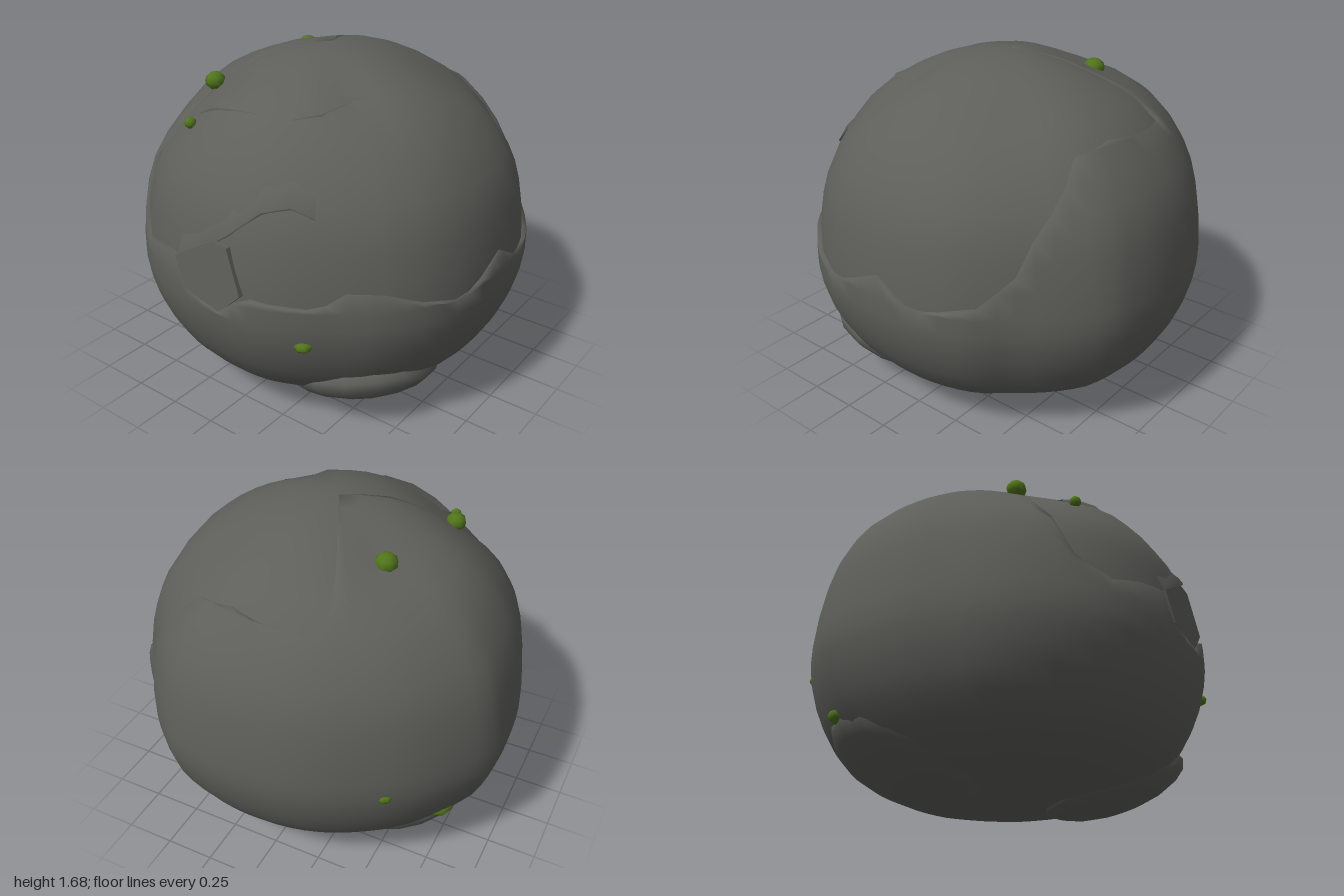
import * as THREE from 'three';
import { mergeVertices } from 'three/addons/utils/BufferGeometryUtils.js';

const DEG = Math.PI / 180;

// Half outline of the boulder, bottom to top: radius, height
const profile = new THREE.SplineCurve([
  [0, 0.045], [0.35, 0.05], [0.6, 0.1], [0.8, 0.21], [0.92, 0.38], [0.985, 0.57], [0.995, 0.74],
  [0.96, 1.0], [0.89, 1.2], [0.74, 1.41], [0.52, 1.56], [0.25, 1.665], [0, 1.69],
].map(([r, y]) => new THREE.Vector2(r, y)));

// Uneven girth: azimuth, radius factor
const girth = [
  [-180, 1.0], [-148, 0.99], [-123, 1.02], [-110, 1.05], [-96, 1.005], [-75, 0.97], [-57, 0.985], [-30, 1.0],
  [0, 1.0], [14, 1.02], [28, 1.01], [37, 1.0], [47, 1.02], [64, 1.035], [76, 1.02], [88, 1.005], [101, 1.01],
  [118, 1.02], [128, 0.985], [140, 1.01], [155, 1.045], [168, 1.02], [180, 1.0],
];

// Hollows pressed into the boulder: x, y, z, reach, depth
const hollows = [
  [-0.45, 1.48, 0.48, 0.3, 0.055], [-0.36, 1.6, -0.25, 0.25, 0.045], [0.34, 1.56, 0.32, 0.1, 0.04],
  [0.5, 1.53, -0.35, 0.25, 0.03], [0.55, 1.5, 0.38, 0.2, 0.015], [-0.62, 1.32, 0.42, 0.25, 0.015],
].map(([x, y, z, reach, depth]) => ({ at: new THREE.Vector3(x, y, z), reach, depth }));
const middle = new THREE.Vector3(0, 0.85, 0);

// Linear lookup in a table of azimuth, value
function lookup(table, azimuth) {
  const k = Math.max(1, table.findIndex(([a]) => a >= azimuth));
  const [a0, y0] = table[k - 1], [a1, y1] = table[k];
  return THREE.MathUtils.lerp(y0, y1, (azimuth - a0) / (a1 - a0));
}

// Profile parameter for a given height
function paramAt(y) {
  if (y >= 1.69) return 1;
  let lo = 0.1, hi = 1;
  for (let i = 0; i < 24; i++) {
    const mid = (lo + hi) / 2;
    if (profile.getPoint(mid).y < y) lo = mid; else hi = mid;
  }
  return lo;
}

// Point on the boulder at an azimuth in degrees (0 = front, 90 = +x), sunk by inset
function surface(azimuth, t, inset = 0) {
  const p = profile.getPoint(t);
  const a = azimuth * DEG;
  const r = Math.max(0, p.x) * (1 + (lookup(girth, azimuth) - 1) * Math.sin(Math.PI * t));
  const point = new THREE.Vector3(r * Math.sin(a), p.y, r * Math.cos(a));
  let sink = 0;
  for (const { at, reach, depth } of hollows) {
    sink += depth * Math.exp(-point.distanceToSquared(at) / reach ** 2);
  }
  return point.sub(middle).multiplyScalar(1 - inset - sink / point.length()).add(middle);
}

// Grid of points to a smooth-shaded surface
function gridGeometry(rows, cols, pointAt) {
  const pos = [], index = [];
  for (let j = 0; j <= rows; j++) {
    for (let i = 0; i <= cols; i++) pos.push(...pointAt(i / cols, j / rows, j).toArray());
  }
  for (let j = 0; j < rows; j++) {
    for (let i = 0; i < cols; i++) {
      const a = j * (cols + 1) + i, b = a + cols + 1;
      index.push(a, a + 1, b, a + 1, b + 1, b);
    }
  }
  let g = new THREE.BufferGeometry();
  g.setAttribute('position', new THREE.Float32BufferAttribute(pos, 3));
  g.setIndex(index);
  g = mergeVertices(g, 1e-4);
  g.computeVertexNormals();
  return g;
}

// Jagged upper rim of the outer shell: azimuth, height
const rim = [
  [-180, 1.41], [-160, 1.4], [-155, 1.69], [-55, 1.69], [-49, 1.45], [-46, 1.2], [-42, 0.93],
  [-31, 0.8], [-18, 0.85], [-10, 0.86], [-7, 0.71], [5, 0.66], [13, 0.77], [22, 0.76], [33, 0.75], [40, 0.83],
  [50, 0.82], [60, 0.76], [73, 0.71], [90, 0.84], [102, 0.72], [120, 0.79], [130, 0.93], [134, 1.08],
  [141, 1.22], [150, 1.4], [165, 1.43], [180, 1.41],
];

export function createModel() {
  const model = new THREE.Group();
  const stone = new THREE.MeshStandardMaterial({ color: 0x5e5e5a, side: THREE.DoubleSide });
  stone.name = 'grey stone';
  const moss = new THREE.MeshStandardMaterial({ color: 0x50741a });
  moss.name = 'green moss';

  function add(name, geometry, material = stone) {
    const mesh = new THREE.Mesh(geometry, material);
    mesh.name = name;
    model.add(mesh);
    return mesh;
  }

  // Inner boulder, slightly sunk below the shell and flush with it at the top
  add('innerBoulder', gridGeometry(24, 36, (u, t) => {
    const fade = THREE.MathUtils.smoothstep(profile.getPoint(t).y, 1.3, 1.65);
    return surface(u * 360 - 180, t, THREE.MathUtils.lerp(0.017, 0.002, fade));
  }));

  // Cracked outer shell, cut off at the rim, its last row folded inwards as the broken edge
  const rows = 25;
  add('crackedShell', gridGeometry(rows, 72, (u, v, j) => {
    const azimuth = u * 360 - 180;
    const top = paramAt(lookup(rim, azimuth));
    return surface(azimuth, Math.min(top, j / (rows - 1)), j === rows && top < 1 ? 0.03 : 0);
  }));

  // Raised lips along the cracks: azimuth, height
  const cracks = {
    frontCrack: [[-10, 0.87], [0, 0.95], [8, 1.05], [17, 1.17], [25, 1.2], [32, 1.16]],
    topCrack: [[-34, 1.43], [-25, 1.47], [-12, 1.49], [3, 1.5]],
    crownCrack: [[20, 1.5], [32, 1.52], [48, 1.57], [62, 1.58]],
  };
  for (const [name, points] of Object.entries(cracks)) {
    const n = points.length - 1;
    add(name, gridGeometry(2, n, (u, v, j) => {
      const i = Math.round(u * n);
      const lift = i === 0 || i === n ? 0 : 0.008;
      const [azimuth, y] = points[i];
      return surface(azimuth, paramAt(y + [0.1, 0, -0.01][j]), [0.02, -lift, 0.03][j]);
    }));
  }

  // Flat broken facet on the front, leaning back with the boulder
  const facet = new THREE.Shape(
    [[-0.18, 0.02], [-0.12, -0.13], [0.1, -0.18], [0.22, -0.06], [0.14, 0.15], [0.06, 0.16]]
      .map(([x, y]) => new THREE.Vector2(x, y)));
  const plate = add('frontFacet', new THREE.ExtrudeGeometry(facet, { depth: 0.04, bevelEnabled: false }));
  plate.position.set(0, 0.84, 0.942);
  plate.rotation.x = -0.08;

  // Two flattened stones the boulder rests on
  const up = new THREE.Vector3(0, 1, 0);
  for (const [name, x, y, z] of [['leftFootStone', 0.45, 0.195, 0.36], ['rightFootStone', -0.47, 0.205, -0.25]]) {
    const foot = add(name, new THREE.SphereGeometry(1, 16, 10));
    foot.position.set(x, y, z);
    foot.scale.set(0.39, 0.155, 0.39);
    const outward = new THREE.Vector3(x, 0, z).setLength(0.32);
    foot.quaternion.setFromUnitVectors(up, new THREE.Vector3(-outward.x, 0.947, -outward.z).normalize());
  }

  // Moss tufts: x, y, z, radius, flattening
  const tufts = [
    [-0.473, 1.482, 0.353, 0.052, 0.9], [-0.38, 1.36, 0.632, 0.03, 0.95], [0.475, 0.56, 0.856, 0.045, 0.6],
    [0.45, 1.36, 0.575, 0.014, 1], [-0.36, 1.55, -0.25, 0.057, 0.9], [-0.605, 0.64, -0.755, 0.042, 0.7],
    [-0.75, 0.33, -0.41, 0.085, 0.5],
  ];
  tufts.forEach(([x, y, z, r, flat], i) => {
    const tuft = add('mossTuft' + (i + 1), new THREE.SphereGeometry(r, 8, 6), moss);
    tuft.position.set(x, y, z);
    tuft.scale.y = flat;
  });

  return model;
}
